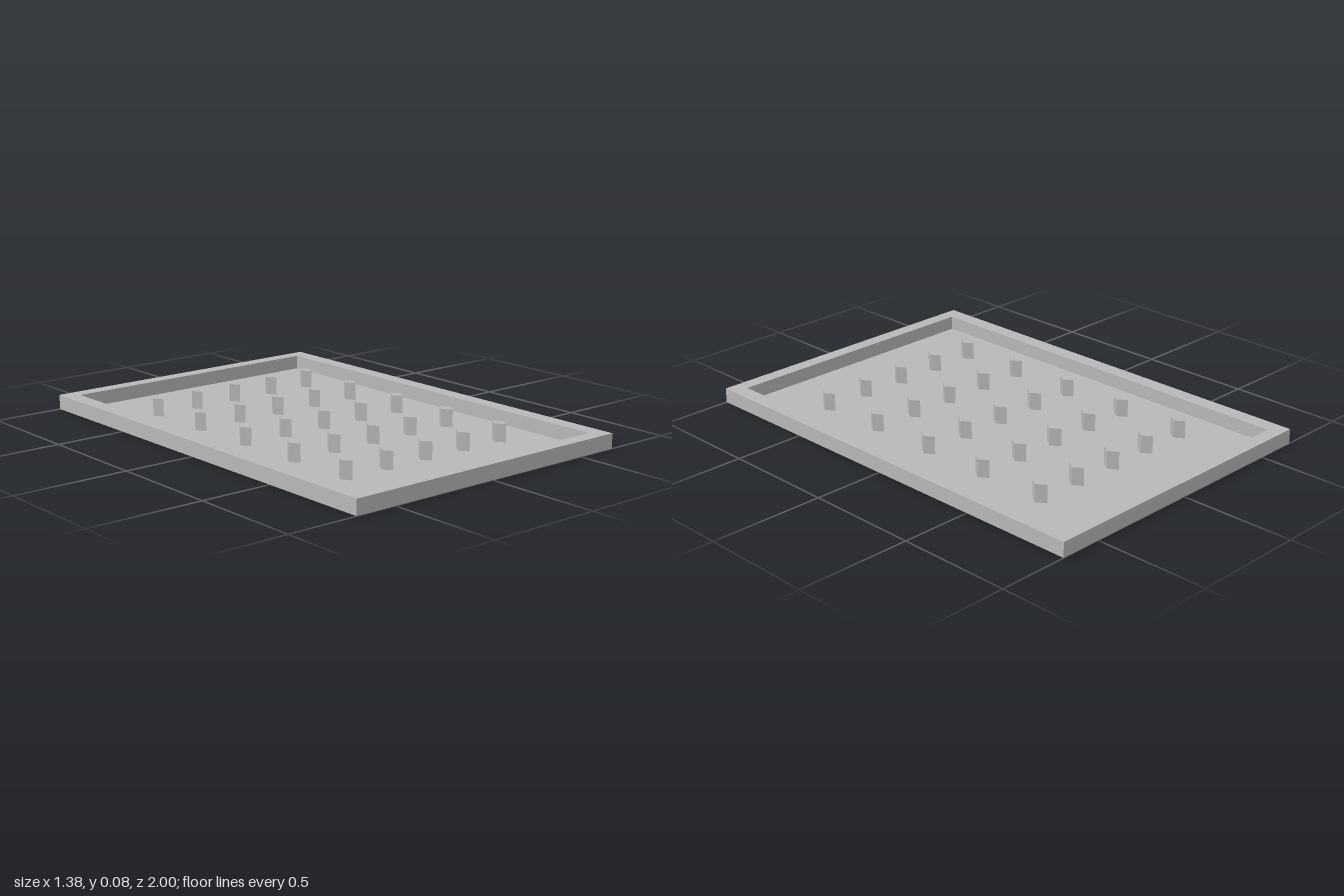
import * as THREE from 'three';

const WIDTH = 1.375, LENGTH = 2, RIM_HEIGHT = 0.065;
const INNER_WIDTH = 1.235, INNER_LENGTH = 1.875;
const FLOOR = 0.003, PEG_TOP = 0.081;
const PEG_X = 0.027, PEG_Z = 0.04, STEP_X = 0.2085, STEP_Z = 0.313;

// Closed outline from corner points
const outline = (pts, Type = THREE.Shape) => new Type(pts.map(([x, y]) => new THREE.Vector2(x, y)));
const rect = (w, l) => [[-w / 2, -l / 2], [w / 2, -l / 2], [w / 2, l / 2], [-w / 2, l / 2]];
const diamond = (x, z) => [[x + PEG_X, z], [x, z + PEG_Z], [x - PEG_X, z], [x, z - PEG_Z]];

// Extrude a plan outline upwards from y = 0
function slab(shape, height) {
  const geo = new THREE.ExtrudeGeometry(shape, { depth: height, bevelEnabled: false });
  return geo.rotateX(-Math.PI / 2);
}

// Hollow diamond peg: four outer walls and a top, open underneath
function pegGeometry() {
  const c = diamond(0, 0).map(([x, z]) => [x, -z]); // counter-clockwise from above
  const v = [];
  const lo = (i) => [c[i % 4][0], 0, c[i % 4][1]];
  const hi = (i) => [c[i % 4][0], PEG_TOP, c[i % 4][1]];
  for (let i = 0; i < 4; i++) {
    v.push(...lo(i), ...lo(i + 1), ...hi(i + 1), ...lo(i), ...hi(i + 1), ...hi(i));
  }
  v.push(...hi(0), ...hi(1), ...hi(2), ...hi(0), ...hi(2), ...hi(3));
  const geo = new THREE.BufferGeometry();
  geo.setAttribute('position', new THREE.Float32BufferAttribute(v, 3));
  geo.computeVertexNormals();
  return geo;
}

export function createModel() {
  const model = new THREE.Group();
  model.name = 'peggedTray';
  const grey = new THREE.MeshStandardMaterial({ color: 0xb8b8b8 });
  grey.name = 'grey';

  const add = (name, geo, parent = model) => {
    const mesh = new THREE.Mesh(geo, grey);
    mesh.name = name;
    parent.add(mesh);
    return mesh;
  };

  // Raised rim around the tray
  const rim = outline(rect(WIDTH, LENGTH));
  rim.holes.push(outline(rect(INNER_WIDTH, INNER_LENGTH), THREE.Path));
  add('rim', slab(rim, RIM_HEIGHT));

  // Thin floor, pierced beneath every peg, and the 5 x 5 grid of pegs
  const floor = outline(rect(INNER_WIDTH, INNER_LENGTH));
  const pegs = new THREE.Group();
  pegs.name = 'pegs';
  model.add(pegs);
  const peg = pegGeometry();
  for (let i = -2; i <= 2; i++) {
    for (let j = -2; j <= 2; j++) {
      floor.holes.push(outline(diamond(i * STEP_X, j * STEP_Z), THREE.Path));
      add('peg', peg, pegs).position.set(i * STEP_X, 0, j * STEP_Z);
    }
  }
  add('floor', slab(floor, FLOOR));
  return model;
}
